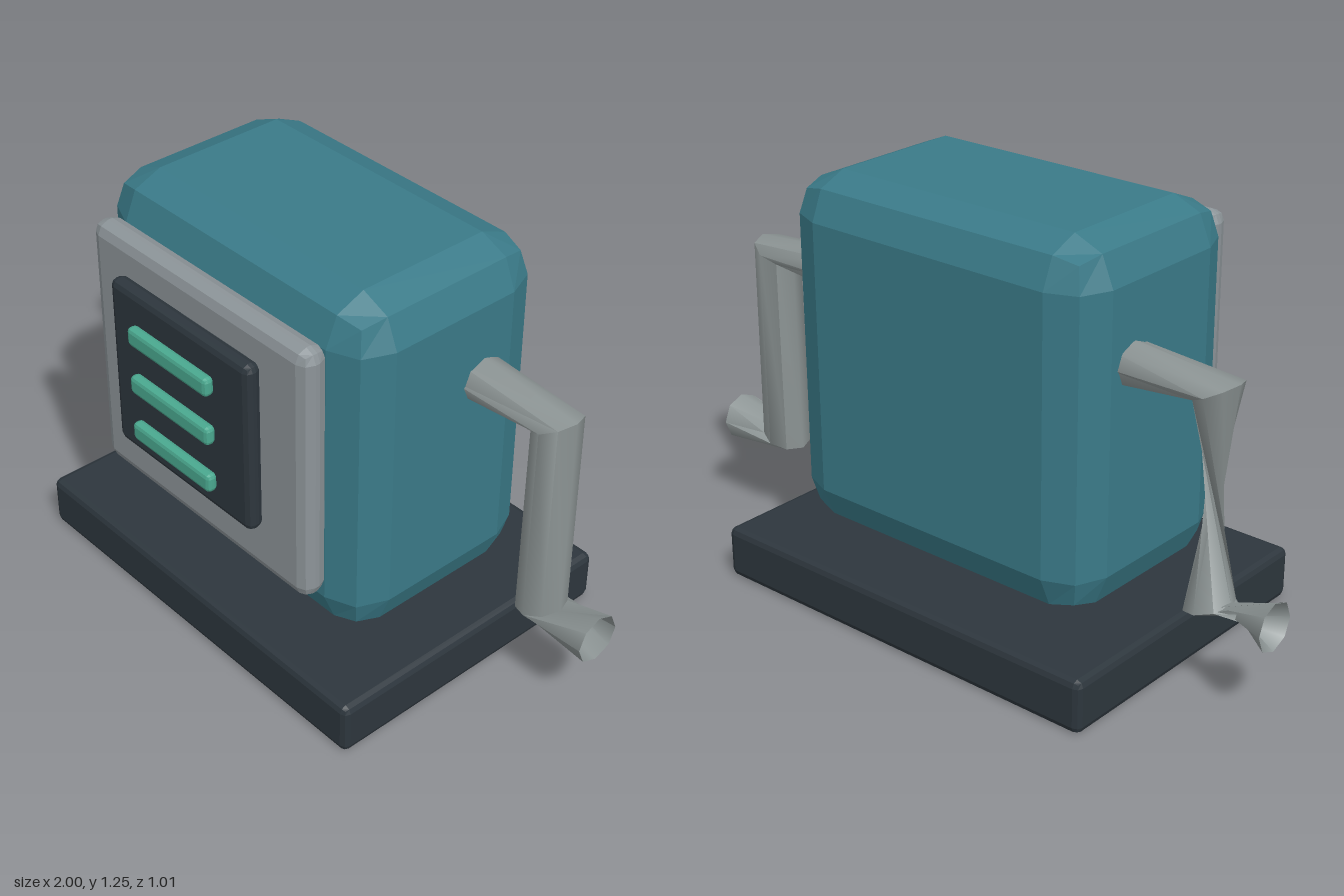
import * as THREE from 'three';
import { toCreasedNormals } from 'three/addons/utils/BufferGeometryUtils.js';
import { RoundedBoxGeometry } from 'three/addons/geometries/RoundedBoxGeometry.js';

const material = (name, color, extra = {}) => {
  const m = new THREE.MeshStandardMaterial({ color, ...extra });
  m.name = name;
  return m;
};

// Box with faceted two-step bevels, given by its extents
function bevelBox(name, mat, [x0, x1], [y0, y1], [z0, z1], radius) {
  const geo = new RoundedBoxGeometry(x1 - x0, y1 - y0, z1 - z0, 1, radius);
  geo.computeVertexNormals(); // flat facets
  const mesh = new THREE.Mesh(geo, mat);
  mesh.name = name;
  mesh.position.set((x0 + x1) / 2, (y0 + y1) / 2, (z0 + z1) / 2);
  return mesh;
}

// Open bent pipe: four eight-sided rings, each with a centre and an in-plane axis
const SIDES = 8;
const ARM_RADIUS = 0.072;
const ARM_Z = -0.13;
const RINGS = [
  { x: 0.45, y: 0.892, ux: 0, uy: 1 },
  { x: 0.797, y: 0.893, ux: 0.887, uy: 0.46 },
  { x: 0.797, y: 0.28, ux: 0.964, uy: 0.264 },
  { x: 1.0, y: 0.29, ux: 0, uy: 1 },
];

function arm(name, mat, side, twists) {
  const positions = [];
  const index = [];
  RINGS.forEach((ring, r) => {
    for (let i = 0; i < SIDES; i++) {
      const a = (i / SIDES) * Math.PI * 2 + twists[r];
      const c = Math.cos(a) * ARM_RADIUS;
      positions.push(side * (ring.x + ring.ux * c), ring.y + ring.uy * c, ARM_Z + Math.sin(a) * ARM_RADIUS);
      if (r === 0) continue;
      const j = (i + 1) % SIDES;
      const a0 = (r - 1) * SIDES + i, a1 = (r - 1) * SIDES + j;
      const b0 = r * SIDES + i, b1 = r * SIDES + j;
      if (side > 0) index.push(a0, a1, b0, a1, b1, b0);
      else index.push(a0, b0, a1, a1, b0, b1);
    }
  });
  const geo = new THREE.BufferGeometry();
  geo.setAttribute('position', new THREE.Float32BufferAttribute(positions, 3));
  geo.setIndex(index);
  const mesh = new THREE.Mesh(toCreasedNormals(geo, 0.9), mat);
  mesh.name = name;
  return mesh;
}

export function createModel() {
  const teal = material('teal shell', 0x3a7a88);
  const dark = material('dark slate', 0x2d363d);
  const grey = material('grey metal', 0x8c9498);
  const pipe = material('grey pipe', 0x8c9494, { side: THREE.DoubleSide });
  const green = material('green light', 0x4aa88f);

  const model = new THREE.Group();
  model.name = 'machine';

  // Base slab and main housing
  model.add(bevelBox('base', dark, [-0.662, 0.662], [0, 0.158], [-0.505, 0.467], 0.02));
  model.add(bevelBox('body', teal, [-0.533, 0.533], [0.18, 1.245], [-0.352, 0.315], 0.125));

  // Layered front: panel, screen and three bars
  model.add(bevelBox('frontPanel', grey, [-0.44, 0.44], [0.358, 1.155], [0.325, 0.411], 0.036));
  model.add(bevelBox('screen', dark, [-0.286, 0.286], [0.536, 1.066], [0.418, 0.469], 0.02));
  for (const y of [0.646, 0.802, 0.958]) {
    model.add(bevelBox('lightBar', green, [-0.165, 0.165], [y - 0.028, y + 0.028], [0.476, 0.509], 0.012));
  }

  // Arms: the right one is wrung by half a turn on either side of its lower elbow
  model.add(arm('leftArm', pipe, 1, [0, 0, 0, 0]));
  model.add(arm('rightArm', pipe, -1, [0, 0, Math.PI, 0]));
  return model;
}
